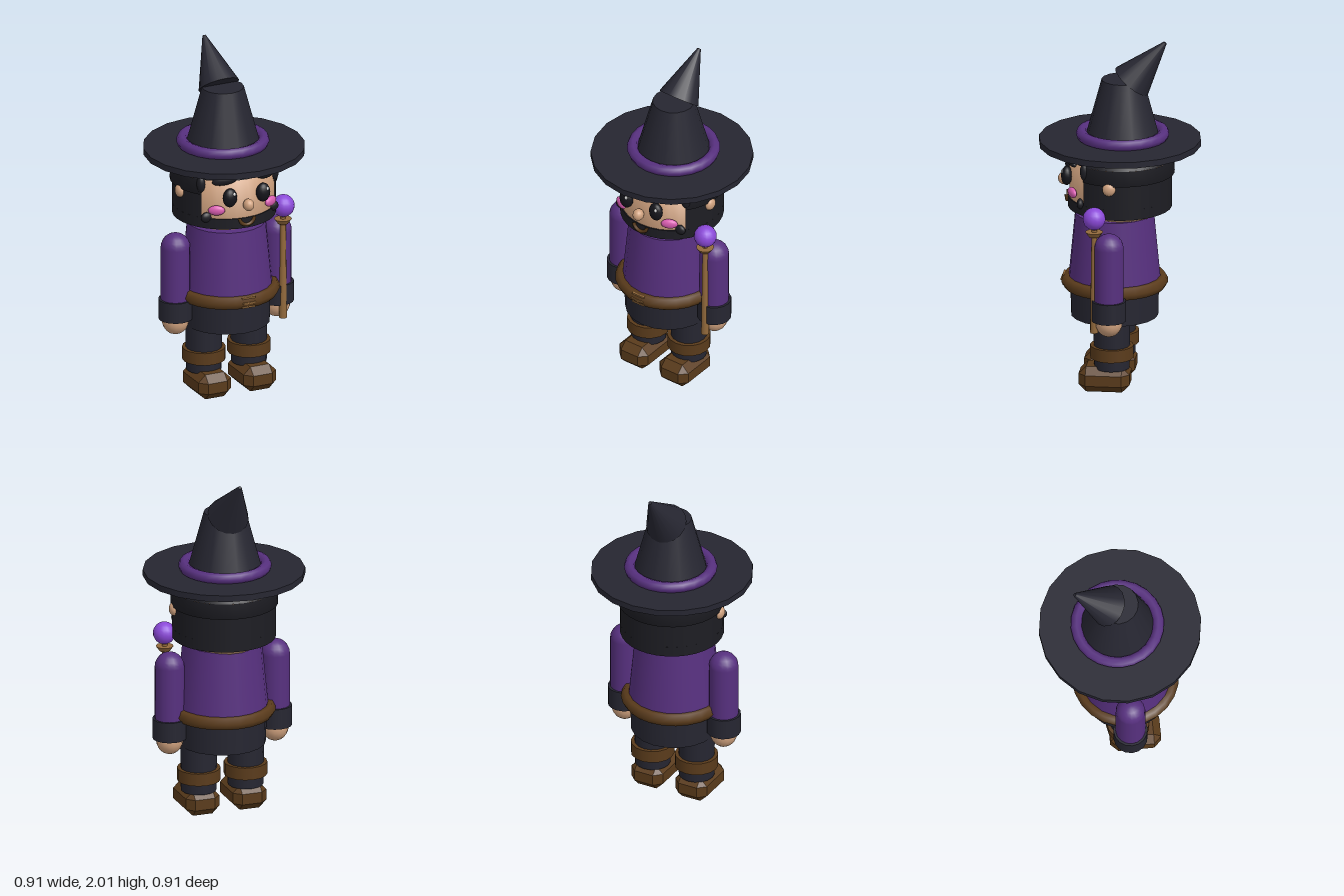
import * as THREE from 'three';
import { ConvexGeometry } from 'three/addons/geometries/ConvexGeometry.js';

export function createModel() {
  const root = new THREE.Group();
  root.name = 'witchFigure';

  const mat = (name, color) => {
    const m = new THREE.MeshStandardMaterial({ color });
    m.name = name;
    return m;
  };
  const cloth = mat('darkCloth', 0x262631);
  const hair = mat('blackHair', 0x1d1d23);
  const purple = mat('purpleCloth', 0x57307f);
  const orb = mat('brightPurple', 0x8a48d8);
  const leather = mat('brownLeather', 0x5a3b1b);
  const wood = mat('lightWood', 0x936a3c);
  const skin = mat('skin', 0xcfa17e);
  const pink = mat('pinkBlush', 0xd85cb0);
  const white = mat('whiteGlint', 0xe8e8e8);
  const eyeBlack = mat('eyeBlack', 0x15151b);
  hair.side = THREE.DoubleSide;

  const add = (name, geo, material, x = 0, y = 0, z = 0) => {
    const m = new THREE.Mesh(geo, material);
    m.name = name;
    m.position.set(x, y, z);
    root.add(m);
    return m;
  };
  // upright frustum given by its bottom and top heights
  const drum = (name, material, rTop, rBottom, y0, y1, x = 0, z = 0, sides = 20) =>
    add(name, new THREE.CylinderGeometry(rTop, rBottom, y1 - y0, sides), material, x, (y0 + y1) / 2, z);
  const blob = (name, material, rx, ry, rz, x, y, z) => {
    const m = add(name, new THREE.SphereGeometry(1, 16, 12), material, x, y, z);
    m.scale.set(rx, ry, rz);
    return m;
  };
  const ring = (name, material, radius, tube, y, z, sides) => {
    const m = add(name, new THREE.TorusGeometry(radius, tube, sides, 24), material, 0, y, z);
    m.rotation.x = Math.PI / 2;
    return m;
  };

  // Hat
  drum('hatBrim', cloth, 0.455, 0.455, 1.4, 1.436);
  drum('hatCrown', cloth, 0.118, 0.212, 1.43, 1.78, 0, -0.015, 16);
  const tip = add('hatTip', new THREE.CylinderGeometry(0.01, 0.118, 0.3, 16), cloth, 0, 1.885, -0.16);
  tip.rotation.x = -0.68;
  ring('hatBand', purple, 0.23, 0.032, 1.462, -0.015, 8);

  // Head: skin drum with a narrow neck
  const headProfile = [[0, 0.99], [0.19, 0.99], [0.225, 1.05], [0.284, 1.06], [0.284, 1.36], [0, 1.4]];
  add('head', new THREE.LatheGeometry(headProfile.map(p => new THREE.Vector2(...p)), 32), skin);

  // Hair: wraps the sides and back, closing under the chin and over the brow
  const a = 0.9, span = Math.PI * 2 - 2 * a;
  drum('chinHair', hair, 0.291, 0.291, 1.04, 1.1, 0, 0, 32);
  add('backHair', new THREE.CylinderGeometry(0.291, 0.291, 0.15, 24, 1, true, a, span), hair, 0, 1.175, 0);
  const capProfile = [[0.27, 1.24], [0.302, 1.24], [0.298, 1.33]];
  add('hairCap', new THREE.LatheGeometry(capProfile.map(p => new THREE.Vector2(...p)), 24, a, span), hair, 0, 0, -0.005);
  drum('hairTop', hair, 0.262, 0.298, 1.33, 1.405, 0, -0.005, 24);
  // ragged edges where the hair meets the face
  for (const s of [-1, 1]) {
    const lock = blob('fringeLock', hair, 0.075, 0.028, 0.025, s * 0.12, 1.335, 0.262);
    lock.rotation.set(0, s * 0.42, -s * 0.22);
    blob('templeLock', hair, 0.025, 0.05, 0.025, s * 0.228, 1.3, 0.175);
    blob('jawLock', hair, 0.035, 0.03, 0.02, s * 0.205, 1.105, 0.2);
  }

  // Face and ears
  for (const s of [-1, 1]) {
    blob('eye', eyeBlack, 0.042, 0.055, 0.032, s * 0.103, 1.235, 0.288);
    blob('eyeGlint', white, 0.009, 0.011, 0.006, s * 0.103 + 0.016, 1.262, 0.313);
    const cheek = blob('cheek', pink, 0.048, 0.029, 0.02, s * 0.168, 1.157, 0.25);
    cheek.rotation.y = s * 0.5;
    blob('ear', skin, 0.025, 0.037, 0.037, s * 0.29, 1.22, 0.03);
  }
  blob('nose', skin, 0.031, 0.035, 0.034, 0, 1.185, 0.315);
  const mouth = add('mouth', new THREE.TorusGeometry(0.046, 0.01, 8, 16, Math.PI), leather, 0, 1.107, 0.296);
  mouth.rotation.z = Math.PI;

  // Torso
  const bodyZ = 0.03;
  drum('tunic', purple, 0.222, 0.262, 0.58, 1.0, 0, bodyZ);
  drum('tunicHem', cloth, 0.25, 0.245, 0.4, 0.6, 0, bodyZ);
  ring('belt', leather, 0.262, 0.039, 0.598, bodyZ, 6);
  for (const dy of [-0.027, 0, 0.027])
    add('buckleBar', new THREE.BoxGeometry(0.08, 0.009, 0.03), wood, 0, 0.6 + dy, 0.315 - Math.abs(dy) * 0.4);

  // Chamfered block for the shoes
  const shoeGeometry = (w, h, d, c) => {
    const pts = [];
    for (const x of [-1, 1]) for (const y of [-1, 1]) for (const z of [-1, 1])
      pts.push(
        new THREE.Vector3(x * w, y * (h - c), z * (d - c)),
        new THREE.Vector3(x * (w - c), y * h, z * (d - c)),
        new THREE.Vector3(x * (w - c), y * (h - c), z * d));
    return new ConvexGeometry(pts);
  };
  const shoe = shoeGeometry(0.1, 0.073, 0.143, 0.042);

  // Arms and legs
  for (const s of [-1, 1]) {
    const ax = s * 0.315, az = 0.027, lx = s * 0.14;
    add('sleeve', new THREE.CapsuleGeometry(0.083, 0.34, 6, 16), purple, ax, 0.715, az);
    drum('sleeveCuff', cloth, 0.096, 0.096, 0.46, 0.578, ax, az, 16);
    blob('hand', skin, 0.076, 0.082, 0.076, ax, 0.448, az);
    drum('leg', cloth, 0.104, 0.1, 0.13, 0.45, lx, bodyZ, 16);
    drum('bootCuff', leather, 0.122, 0.122, 0.19, 0.262, lx, bodyZ, 16);
    add('shoe', shoe, leather, lx, 0.073, 0.068);
  }

  // Staff
  drum('staffShaft', wood, 0.015, 0.023, 0.385, 0.99, 0.313, 0.11, 10);
  drum('staffCollar', wood, 0.05, 0.03, 0.95, 0.978, 0.313, 0.11, 12);
  blob('staffOrb', orb, 0.064, 0.064, 0.064, 0.315, 1.055, 0.11);

  return root;
}
